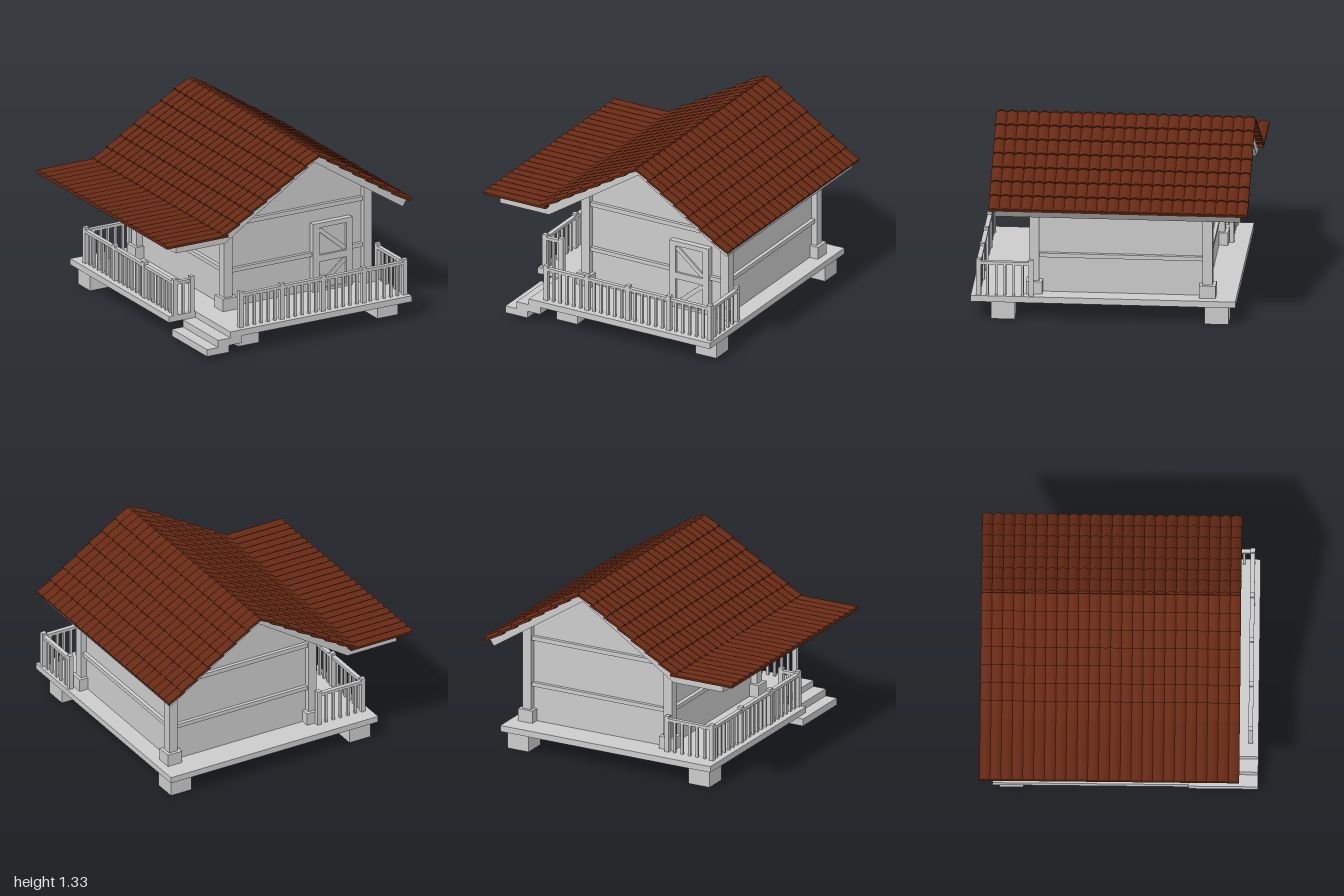
import * as THREE from 'three';

const grey = new THREE.MeshStandardMaterial({ color: 0xcccccc });
const clay = new THREE.MeshStandardMaterial({ color: 0x662914 });

export function createModel() {
  const house = new THREE.Group();
  house.name = 'house';

  const add = (name, geometry, material = grey, parent = house) => {
    const mesh = new THREE.Mesh(geometry, material);
    mesh.name = name;
    parent.add(mesh);
    return mesh;
  };
  // box given by its min and max on each axis
  const box = (name, x0, x1, y0, y1, z0, z1, parent = house) => {
    const mesh = add(name, new THREE.BoxGeometry(x1 - x0, y1 - y0, z1 - z0), grey, parent);
    mesh.position.set((x0 + x1) / 2, (y0 + y1) / 2, (z0 + z1) / 2);
    return mesh;
  };
  // outline in x and y, extruded from z0 to z1
  const prism = (name, points, z0, z1) => {
    const shape = new THREE.Shape(points.map(p => new THREE.Vector2(...p)));
    const mesh = add(name, new THREE.ExtrudeGeometry(shape, { depth: z1 - z0, bevelEnabled: false }));
    mesh.position.z = z0;
    return mesh;
  };

  // Deck with a corner notch for the steps (outline in x and -z)
  const deck = prism('deck', [[-0.775, -0.49], [-0.56, -0.49], [-0.56, -0.98],
    [0.92, -0.98], [0.92, 0.89], [-0.775, 0.89]], 0, 0.045);
  deck.rotation.x = -Math.PI / 2;
  deck.position.y = 0.135;

  box('lowerStep', -0.75, -0.57, 0.03, 0.082, 0.49, 0.98);
  box('upperStep', -0.66, -0.465, 0.082, 0.135, 0.49, 0.98);

  // Foundation blocks
  for (const [x, z] of [[-0.33, 0.755], [0.805, 0.755], [-0.655, -0.755], [0.805, -0.755]])
    box('foundationBlock', x - 0.085, x + 0.085, 0, 0.136, z - 0.085, z + 0.085);

  // Walls with gables
  prism('walls', [[-0.325, 0.18], [0.79, 0.18], [0.79, 0.9], [0.23, 1.26], [-0.325, 0.9]], -0.68, 0.53);

  // Corner columns on square bases
  for (const x of [-0.338, 0.8]) for (const z of [0.537, -0.687]) {
    box('column', x - 0.034, x + 0.034, 0.18, 0.89, z - 0.035, z + 0.035);
    box('columnBase', x - 0.058, x + 0.058, 0.18, 0.272, z - 0.058, z + 0.058);
  }

  // Wall beams
  for (const [y0, y1] of [[0.443, 0.473], [0.788, 0.82]]) {
    box('frontBeam', -0.31, 0.77, y0, y1, 0.5, 0.556);
    box('backBeam', -0.31, 0.77, y0, y1, -0.706, -0.65);
    box('leftBeam', 0.77, 0.818, y0, y1, -0.66, 0.51);
    box('rightBeam', -0.356, -0.31, y0, y1, -0.66, 0.51);
  }

  // Door with frame and braces
  const door = new THREE.Group();
  door.name = 'door';
  house.add(door);
  box('doorPanel', 0.37, 0.65, 0.18, 0.67, 0.52, 0.558, door);
  box('doorStile', 0.352, 0.402, 0.18, 0.69, 0.52, 0.575, door);
  box('doorStile', 0.622, 0.672, 0.18, 0.69, 0.52, 0.575, door);
  for (const [y0, y1] of [[0.655, 0.69], [0.4, 0.45], [0.18, 0.2]])
    box('doorRail', 0.402, 0.622, y0, y1, 0.52, 0.575, door);
  for (const [yc, tilt] of [[0.552, -1], [0.298, 1]]) {
    const brace = box('doorBrace', -0.138, 0.138, -0.016, 0.016, 0.52, 0.57, door);
    brace.position.set(0.512, yc, 0.545);
    brace.rotation.z = tilt * 0.7;
  }

  // Railings: posts, handrail and balusters between two points
  const railing = (name, x0, z0, x1, z1, bays) => {
    const group = new THREE.Group();
    group.name = name;
    house.add(group);
    const length = Math.hypot(x1 - x0, z1 - z0);
    group.position.set(x0, 0.18, z0);
    group.rotation.y = -Math.atan2(z1 - z0, x1 - x0);
    box('handrail', 0, length, 0.228, 0.25, -0.016, 0.016, group);
    const bay = length / bays;
    const gaps = Math.max(2, Math.round(bay / 0.06));
    for (let i = 0; i <= bays; i++) {
      box('post', i * bay - 0.017, i * bay + 0.017, 0, 0.268, -0.017, 0.017, group);
      for (let j = 1; j < gaps && i < bays; j++) {
        const x = i * bay + j * bay / gaps;
        box('baluster', x - 0.009, x + 0.009, 0, 0.23, -0.009, 0.009, group);
      }
    }
  };
  railing('frontRailing', -0.445, 0.925, 0.89, 0.925, 4);
  railing('leftRailing', 0.89, 0.925, 0.89, 0.555, 1);
  railing('stepRailing', -0.72, 0.475, -0.585, 0.475, 1);
  railing('rightRailing', -0.72, -0.765, -0.72, 0.475, 3);
  railing('backRailing', -0.72, -0.765, -0.36, -0.765, 1);

  // Roof slab, flat over the side porch
  prism('roofSlab', [[-0.9, 0.775], [-0.5, 0.775], [0.23, 1.25], [0.95, 0.785],
    [0.985, 0.835], [0.24, 1.308], [-0.52, 0.84], [-0.9, 0.84]], -0.93, 0.8);

  // One course of arched tiles, running along z and laid towards +x
  const columns = 24, half = 0.915, arcSteps = 5;
  const courseShape = new THREE.Shape();
  courseShape.moveTo(-half, 0);
  courseShape.lineTo(half, 0);
  for (let i = columns * arcSteps; i >= 0; i--) {
    const t = i / (columns * arcSteps);
    const arch = Math.sin(Math.PI * (i % arcSteps) / arcSteps);
    courseShape.lineTo(half * (2 * t - 1), 0.016 + 0.017 * arch);
  }
  const course = (length) => {
    const geometry = new THREE.ExtrudeGeometry(courseShape, { depth: length, bevelEnabled: false });
    return geometry.rotateY(Math.PI / 2);
  };

  // Overlapping courses between two points; the lower end of each is lifted
  const tileSlope = (name, from, to, count) => {
    const a = new THREE.Vector2(...from), b = new THREE.Vector2(...to);
    const dir = b.clone().sub(a).normalize();
    const normal = new THREE.Vector2(-dir.y, dir.x);
    const rise = Math.sign(b.y - a.y);
    for (let i = 0; i < count; i++) {
      const start = a.clone().lerp(b, i / count);
      const end = a.clone().lerp(b, (i + 1) / count);
      if (rise > 0) {
        start.addScaledVector(normal, 0.013);
        if (i < count - 1) end.addScaledVector(dir, 0.02);
      } else if (rise < 0) {
        end.addScaledVector(normal, 0.013);
        if (i > 0) start.addScaledVector(dir, -0.02);
      }
      const mesh = add(name, course(start.distanceTo(end)), clay);
      mesh.position.set(start.x, start.y, -0.065);
      mesh.rotation.z = Math.atan2(end.y - start.y, end.x - start.x);
    }
  };
  tileSlope('porchTiles', [-1, 0.837], [-0.5, 0.837], 4);
  tileSlope('rightSlopeTiles', [-0.53, 0.835], [0.243, 1.302], 7);
  tileSlope('leftSlopeTiles', [0.237, 1.302], [0.978, 0.822], 7);

  return house;
}
